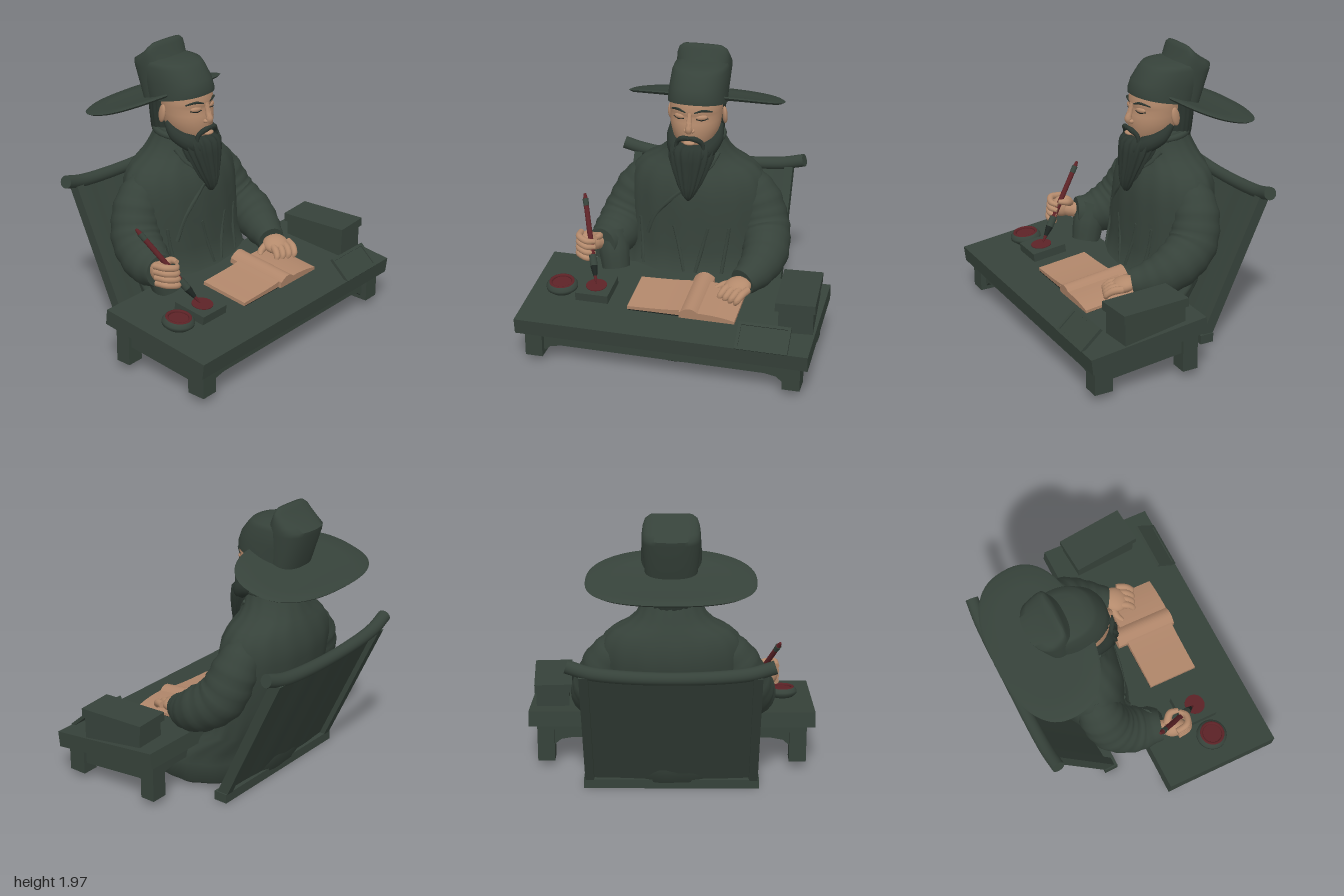
import * as THREE from 'three';
import { mergeVertices, toCreasedNormals } from 'three/addons/utils/BufferGeometryUtils.js';

const mat = (name, color) => Object.assign(new THREE.MeshStandardMaterial({ color }), { name });
const V = (p) => new THREE.Vector3(p[0], p[1], p[2]);

function smooth(g, angle = 1.1) {
  g.deleteAttribute('uv');
  g.deleteAttribute('normal');
  return toCreasedNormals(mergeVertices(g, 1e-5), angle);
}

// Stack of superellipse rings from bottom to top: [y, centreZ, radiusX, radiusZ, tilt, bend]
function loft(rings, { n = 2, ripple = 0, waves = 0, seg = 48 } = {}) {
  const g = new THREE.CylinderGeometry(1, 1, 1, seg, rings.length - 1, true);
  const p = g.attributes.position;
  for (let i = 0; i < p.count; i++) {
    const [y, cz, rx, rz, tilt = 0, bend = 0] = rings[rings.length - 1 - Math.floor(i / (seg + 1))];
    const a = ((i % (seg + 1)) % seg) / seg * Math.PI * 2, s = Math.sin(a), c = Math.cos(a);
    const k = 1 + ripple * Math.sin(a * waves + y * 4);
    const x = Math.sign(s) * Math.abs(s) ** (2 / n) * rx * k;
    const z = Math.sign(c) * Math.abs(c) ** (2 / n) * rz * k;
    p.setXYZ(i, x, y + tilt * z + bend * z * z, cz + z);
  }
  return smooth(g);
}

// Tube with a changing radius through [x, y, z, radius], with flat closed ends
function taper(pts, { n = 20, seg = 12, fold = 0 } = {}) {
  const curve = new THREE.CatmullRomCurve3(pts.map(V));
  const g = new THREE.TubeGeometry(curve, n, 1, seg);
  const p = g.attributes.position, v = new THREE.Vector3();
  for (let i = 0; i < p.count; i++) {
    const row = Math.floor(i / (seg + 1));
    const u = THREE.MathUtils.clamp((row - 1) / (n - 2), 0, 1);
    const t = curve.getUtoTmapping(u) * (pts.length - 1);
    const j = Math.min(Math.floor(t), pts.length - 2);
    let r = THREE.MathUtils.lerp(pts[j][3], pts[j + 1][3], t - j) * (1 + fold * Math.sin(row * 1.7));
    if (row === 0 || row === n) r = 0;
    v.fromBufferAttribute(p, i).sub(curve.getPointAt(row / n)).multiplyScalar(r).add(curve.getPointAt(u));
    p.setXYZ(i, v.x, v.y, v.z);
  }
  return smooth(g);
}

export function createModel() {
  const model = new THREE.Group();
  const green = mat('dark green', 0x36423a), hair = mat('hair green', 0x2b352f);
  const skin = mat('skin', 0xb48a6c), paper = mat('paper', 0xb0866a);
  const red = mat('dark red', 0x5c2226), black = mat('near black', 0x1c2320);

  const add = (parent, name, geo, m, pos = [0, 0, 0], rot = [0, 0, 0], scale = [1, 1, 1]) => {
    const mesh = new THREE.Mesh(geo, m);
    mesh.name = name;
    mesh.position.set(...pos);
    mesh.rotation.set(...rot);
    mesh.scale.set(...scale);
    parent.add(mesh);
    return mesh;
  };
  const group = (name) => {
    const g = new THREE.Group();
    g.name = name;
    model.add(g);
    return g;
  };
  const box = (...s) => new THREE.BoxGeometry(...s);
  const ball = new THREE.SphereGeometry(1, 24, 16);
  const rod = (parent, name, a, b, r1, r2, m) => {
    const d = V(b).sub(V(a));
    const mesh = add(parent, name, new THREE.CylinderGeometry(r2, r1, d.length(), 16), m);
    mesh.position.copy(V(a)).addScaledVector(d, 0.5);
    mesh.quaternion.setFromUnitVectors(new THREE.Vector3(0, 1, 0), d.normalize());
  };

  // Robe
  const robe = group('robe');
  const body = [[0.01, 0.12, 0, 0], [0.01, 0.12, 0.54, 0.41], [0.05, 0.11, 0.59, 0.46], [0.18, 0.1, 0.58, 0.46],
    [0.27, 0.02, 0.56, 0.39], [0.4, -0.18, 0.5, 0.245], [0.6, -0.235, 0.49, 0.26], [0.8, -0.26, 0.49, 0.28],
    [0.95, -0.28, 0.49, 0.285], [1.05, -0.29, 0.475, 0.28], [1.12, -0.295, 0.44, 0.255], [1.17, -0.3, 0.385, 0.235],
    [1.21, -0.3, 0.3, 0.215], [1.27, -0.29, 0.23, 0.2], [1.34, -0.275, 0.195, 0.185], [1.4, -0.27, 0.175, 0.16], [1.4, -0.27, 0, 0]];
  add(robe, 'robeBody', loft(body, { ripple: 0.01, waves: 15, seg: 90 }), green);
  const frontZ = (x, y) => {
    const i = Math.max(1, body.findIndex((r, k) => k > 1 && r[0] >= y));
    const a = body[i - 1], b = body[i], t = (y - a[0]) / (b[0] - a[0]);
    const [cz, rx, rz] = [1, 2, 3].map((k) => a[k] + (b[k] - a[k]) * t);
    return cz + rz * Math.sqrt(Math.max(0, 1 - (x / rx) ** 2));
  };
  const trim = (name, pts, r) => add(robe, name, taper(pts.map(([x, y]) => [x, y, frontZ(x, y) - r * 0.4, r])), green);
  trim('outerLapel', [[0.17, 1.28], [0.13, 1.2], [0.02, 1.09], [-0.12, 0.97], [-0.24, 0.83], [-0.3, 0.68]], 0.016);
  trim('innerLapel', [[-0.17, 1.28], [-0.14, 1.2], [-0.07, 1.13], [0, 1.08]], 0.016);
  for (const [x, dx] of [[-0.36, 0.03], [-0.1, 0.08], [0.14, -0.08], [0.28, -0.04]])
    trim('robeFold', [[x, 0.78], [x + dx * 0.4, 0.65], [x + dx, 0.45]], 0.013);
  add(robe, 'collar', new THREE.TorusGeometry(0.172, 0.025, 10, 40), green, [0, 1.365, -0.27], [Math.PI / 2 + 0.1, 0, 0]);

  // Sleeves
  add(robe, 'rightSleeve', taper([[-0.33, 1.065, -0.3, 0.115], [-0.43, 0.92, -0.29, 0.155], [-0.51, 0.72, -0.22, 0.17],
    [-0.56, 0.61, -0.07, 0.16], [-0.605, 0.61, 0.09, 0.11]], { n: 32, seg: 20, fold: 0.025 }), green);
  add(robe, 'rightSleeveDrape', taper([[-0.56, 0.66, -0.03, 0.11], [-0.53, 0.54, 0.03, 0.11], [-0.51, 0.43, 0.06, 0.1]]), green);
  add(robe, 'leftSleeve', taper([[0.33, 1.065, -0.3, 0.115], [0.43, 0.92, -0.29, 0.155], [0.5, 0.72, -0.22, 0.17],
    [0.53, 0.6, -0.06, 0.16], [0.49, 0.53, 0.08, 0.13], [0.43, 0.5, 0.2, 0.095]], { n: 36, seg: 20, fold: 0.025 }), green);

  // Head
  const head = group('head');
  add(head, 'face', loft([[1.3, -0.19, 0, 0], [1.32, -0.19, 0.09, 0.13], [1.4, -0.195, 0.15, 0.17], [1.48, -0.205, 0.172, 0.184],
    [1.52, -0.21, 0.176, 0.185], [1.56, -0.215, 0.178, 0.177], [1.58, -0.215, 0.18, 0.18], [1.61, -0.215, 0.18, 0.187],
    [1.67, -0.23, 0.175, 0.18], [1.67, -0.23, 0, 0]]), skin);
  add(head, 'nose', taper([[0, 1.6, -0.035, 0.014], [0, 1.54, -0.02, 0.019], [0, 1.49, -0.006, 0.026], [0, 1.468, -0.012, 0.02]]), skin);
  add(head, 'lip', ball, skin, [0, 1.392, -0.012], [0, 0, 0], [0.04, 0.014, 0.025]);
  add(head, 'backHair', loft([[1.28, -0.33, 0.14, 0.12], [1.38, -0.34, 0.165, 0.13], [1.5, -0.355, 0.165, 0.13],
    [1.62, -0.355, 0.175, 0.14], [1.64, -0.355, 0, 0]], { ripple: 0.02, waves: 22, seg: 88 }), hair);
  for (const s of [-1, 1]) {
    add(head, 'nostril', ball, skin, [s * 0.024, 1.478, -0.022], [0, 0, 0], [0.016, 0.014, 0.02]);
    add(head, 'eyelid', ball, skin, [s * 0.075, 1.565, -0.062], [0, s * 0.35, 0], [0.042, 0.02, 0.02]);
    add(head, 'closedEye', taper([[s * 0.04, 1.555, -0.042, 0.003], [s * 0.08, 1.548, -0.049, 0.004], [s * 0.12, 1.556, -0.075, 0.003]]), black);
    add(head, 'eyebrow', taper([[s * 0.03, 1.602, -0.031, 0.004], [s * 0.085, 1.618, -0.046, 0.009], [s * 0.14, 1.6, -0.098, 0.005]]), hair);
    add(head, 'ear', ball, skin, [s * 0.188, 1.52, -0.265], [0.2, s * 0.35, 0], [0.018, 0.066, 0.036]);
    add(head, 'moustache', taper([[0, 1.43, 0.0, 0.015], [s * 0.045, 1.425, -0.005, 0.019], [s * 0.085, 1.39, -0.03, 0.016], [s * 0.1, 1.34, -0.03, 0.01]]), hair);
    add(head, 'whiskers', taper([[s * 0.165, 1.46, -0.25, 0.02], [s * 0.15, 1.38, -0.18, 0.05], [s * 0.11, 1.33, -0.09, 0.06], [s * 0.05, 1.29, -0.02, 0.05]]), hair);
  }
  add(head, 'beard', loft([[0.97, 0.0, 0, 0], [0.98, 0.0, 0.015, 0.025], [1.02, -0.005, 0.045, 0.052], [1.08, -0.02, 0.078, 0.072],
    [1.17, -0.045, 0.115, 0.09], [1.26, -0.075, 0.148, 0.115], [1.33, -0.1, 0.158, 0.13], [1.38, -0.125, 0.145, 0.13, -0.2],
    [1.39, -0.125, 0, 0]], { ripple: 0.06, waves: 17, seg: 102 }), hair);

  // Hat: low front crown, raised rear crown, curved wide brim behind
  const hat = group('hat');
  add(hat, 'frontCrown', loft([[1.61, -0.26, 0, 0, 0.2], [1.61, -0.26, 0.2, 0.225, 0.2], [1.64, -0.262, 0.2, 0.228, 0.2], [1.72, -0.295, 0.196, 0.24, 0.12],
    [1.82, -0.345, 0.19, 0.235], [1.85, -0.35, 0.178, 0.21], [1.866, -0.355, 0.13, 0.15], [1.87, -0.36, 0, 0]], { n: 2.3 }), green);
  add(hat, 'rearCrown', loft([[1.56, -0.4, 0.17, 0.1, 0.2], [1.8, -0.44, 0.19, 0.15], [1.83, -0.445, 0.19, 0.15], [1.86, -0.432, 0.188, 0.115],
    [1.9, -0.415, 0.182, 0.074], [1.94, -0.403, 0.168, 0.04], [1.965, -0.398, 0.135, 0.02], [1.97, -0.398, 0, 0]], { n: 2.4 }), green);
  const brimRing = (y, k) => [y, -0.51, 0.553 * k, 0.317 * k, 0.28, 0.29];
  add(hat, 'brim', loft([...[0, 0.35, 0.7, 0.96].map((k) => brimRing(1.538, k)), brimRing(1.55, 1),
    ...[0.96, 0.7, 0.35, 0].map((k) => brimRing(1.562, k))], { n: 2.4, seg: 64 }), green);

  // Chair back
  const chair = group('chair');
  add(chair, 'topRail', taper([[-0.67, 1.045, -0.72, 0.045], [-0.5, 1.0, -0.735, 0.045], [0, 0.97, -0.74, 0.042],
    [0.5, 1.0, -0.735, 0.045], [0.67, 1.045, -0.72, 0.045]], { n: 40, seg: 20 }), green);
  add(chair, 'bottomRail', box(1.2, 0.065, 0.1), green, [0, 0.035, -0.29]);
  const lean = -Math.atan2(0.44, 0.94);
  for (const s of [-1, 1]) add(chair, 'post', box(0.06, 1.04, 0.075), green, [s * 0.56, 0.525, -0.515], [lean, 0, 0]);
  const panel = new THREE.PlaneGeometry(1.1, 1.02, 24, 8), pp = panel.attributes.position;
  for (let i = 0; i < pp.count; i++) {
    const x = pp.getX(i);
    pp.setZ(i, -0.02 * Math.cos(x * 2.8) + 0.002 * Math.sin(x * 23));
  }
  panel.computeVertexNormals();
  const cloth = mat('chair cloth', 0x36423a);
  cloth.side = THREE.DoubleSide;
  add(chair, 'backPanel', panel, cloth, [0, 0.525, -0.515], [lean, 0, 0]);

  // Table
  const table = group('table');
  add(table, 'tableSlab', box(2, 0.11, 0.845), green, [0, 0.335, 0.385], [0.117, 0, 0]);
  const apronShape = new THREE.Shape([[-0.85, 0.08], [-0.82, 0.08], [-0.78, 0.115], [-0.7, 0.13], [0.7, 0.13], [0.78, 0.115],
    [0.82, 0.08], [0.85, 0.08], [0.85, 0.25], [-0.85, 0.25]].map(([x, y]) => new THREE.Vector2(x, y)));
  const apron = new THREE.ExtrudeGeometry(apronShape, { depth: 0.04, bevelEnabled: false });
  add(table, 'frontApron', apron, green, [0, 0, 0.68]);
  add(table, 'backApron', apron, green, [0, 0.09, 0.03]);
  for (const s of [-1, 1]) {
    add(table, 'frontLeg', box(0.12, 0.21, 0.13), green, [s * 0.885, 0.155, 0.695]);
    add(table, 'backLeg', box(0.12, 0.29, 0.11), green, [s * 0.885, 0.195, 0.055]);
    add(table, 'sideApron', box(0.04, 0.15, 0.56), green, [s * 0.9, 0.225, 0.37], [0.1, 0, 0]);
  }

  // Things lying on the tilted table top
  const desk = group('deskItems');
  desk.position.set(0, 0.39, 0.385);
  desk.rotation.x = 0.117;
  const bowl = [[0, 0], [0.08, 0], [0.108, 0.025], [0.108, 0.045], [0.09, 0.068], [0.075, 0.068], [0.065, 0.05], [0, 0.05]];
  add(desk, 'inkBowl', new THREE.LatheGeometry(bowl.map(([x, y]) => new THREE.Vector2(x, y)), 36), green, [-0.79, 0, 0.02]);
  add(desk, 'bowlInk', new THREE.CylinderGeometry(0.07, 0.07, 0.006, 32), red, [-0.79, 0.056, 0.02]);
  add(desk, 'bowlRim', new THREE.TorusGeometry(0.078, 0.012, 8, 32), red, [-0.79, 0.062, 0.02], [Math.PI / 2, 0, 0]);
  add(desk, 'inkStone', box(0.23, 0.06, 0.25), green, [-0.548, 0.03, 0.0]);
  add(desk, 'stoneInk', new THREE.CylinderGeometry(0.072, 0.072, 0.008, 32), red, [-0.545, 0.061, 0.01]);
  const leaf = (name, depth, z, x0, x1, rise) => {
    const s = new THREE.Shape();
    s.moveTo(x0, 0.005);
    s.lineTo(x1, 0.005);
    s.lineTo(x1, rise[2]);
    s.bezierCurveTo(x1 - (x1 - x0) / 3, rise[1], x0 + (x1 - x0) / 3, rise[1], x0, rise[0]);
    s.closePath();
    add(desk, name, new THREE.ExtrudeGeometry(s, { depth, bevelEnabled: false, curveSegments: 14 }), paper, [0, 0, z]);
  };
  leaf('leftPages', 0.36, -0.2, -0.285, 0.08, [0.03, 0.035, 0.05]);
  leaf('rightPages', 0.38, -0.2, 0.08, 0.46, [0.05, 0.06, 0.025]);
  leaf('raisedPage', 0.45, -0.27, 0.08, 0.22, [0.04, 0.095, 0.045]);
  add(desk, 'bookCover', box(0.73, 0.01, 0.36), black, [0.09, 0.005, -0.02]);

  // Box at the table side and a leaning tray at the front
  const chest = group('storageBox');
  chest.position.set(0.85, 0, 0.34);
  chest.rotation.y = 0.07;
  add(chest, 'boxBase', box(0.23, 0.18, 0.46), green, [0.005, 0.435, 0]);
  add(chest, 'boxLid', box(0.265, 0.06, 0.49), green, [0, 0.558, 0]);
  const tray = group('tray');
  tray.position.set(0.69, 0.395, 0.735);
  tray.rotation.x = 0.73;
  add(tray, 'trayPlate', box(0.35, 0.014, 0.19), green);
  for (const s of [-1, 1]) {
    add(tray, 'traySide', box(0.02, 0.022, 0.19), green, [s * 0.165, 0.005, 0]);
    add(tray, 'trayEdge', box(0.35, 0.022, 0.02), green, [0, 0.005, s * 0.085]);
  }

  // Brush
  const brush = group('brush');
  const at = (t) => [-0.745 + 0.195 * t, 0.94 - 0.49 * t, 0.005 + 0.385 * t];
  rod(brush, 'brushEnd', at(0), at(0.06), 0.009, 0.017, red);
  rod(brush, 'brushCap', at(0.06), at(0.14), 0.021, 0.019, green);
  rod(brush, 'brushHandle', at(0.14), at(0.68), 0.018, 0.019, red);
  rod(brush, 'brushFerrule', at(0.68), at(0.8), 0.026, 0.026, green);
  rod(brush, 'brushHairs', at(0.8), at(0.91), 0.026, 0.013, black);
  rod(brush, 'brushInkTip', at(0.91), at(0.99), 0.013, 0.004, red);

  // Right hand around the brush
  const rightHand = group('rightHand');
  add(rightHand, 'palm', ball, skin, [-0.68, 0.65, 0.16], [0.3, 0, 0.2], [0.06, 0.075, 0.085]);
  add(rightHand, 'wrist', taper([[-0.61, 0.61, 0.04, 0.05], [-0.65, 0.63, 0.12, 0.055], [-0.67, 0.64, 0.16, 0.05]]), skin);
  for (let i = 0; i < 4; i++) {
    const y = 0.715 - i * 0.04, z = 0.005 * i;
    add(rightHand, 'finger', taper([[-0.73, y, 0.15 + z, 0.022], [-0.715, y + 0.005, 0.235 + z, 0.024],
      [-0.65, y - 0.01, 0.265 + z, 0.022], [-0.605, y - 0.02, 0.235 + z, 0.016]]), skin);
  }
  add(rightHand, 'thumb', taper([[-0.64, 0.68, 0.12, 0.028], [-0.59, 0.71, 0.17, 0.025], [-0.6, 0.72, 0.23, 0.016]]), skin);

  // Left hand resting on the page
  const leftHand = group('leftHand');
  add(leftHand, 'palm', ball, skin, [0.41, 0.495, 0.255], [0.15, 0.5, 0.15], [0.095, 0.052, 0.09]);
  for (let i = 0; i < 4; i++) {
    const x = 0.335 + i * 0.042, z = 0.27 + i * 0.018;
    add(leftHand, 'finger', taper([[x + 0.03, 0.5, z - 0.02, 0.025], [x, 0.488, z + 0.045, 0.026],
      [x - 0.025, 0.455, z + 0.08, 0.021], [x - 0.035, 0.435, z + 0.075, 0.014]]), skin);
  }
  add(leftHand, 'thumb', taper([[0.37, 0.49, 0.21, 0.028], [0.3, 0.47, 0.215, 0.024], [0.255, 0.452, 0.24, 0.016]]), skin);

  return model;
}
